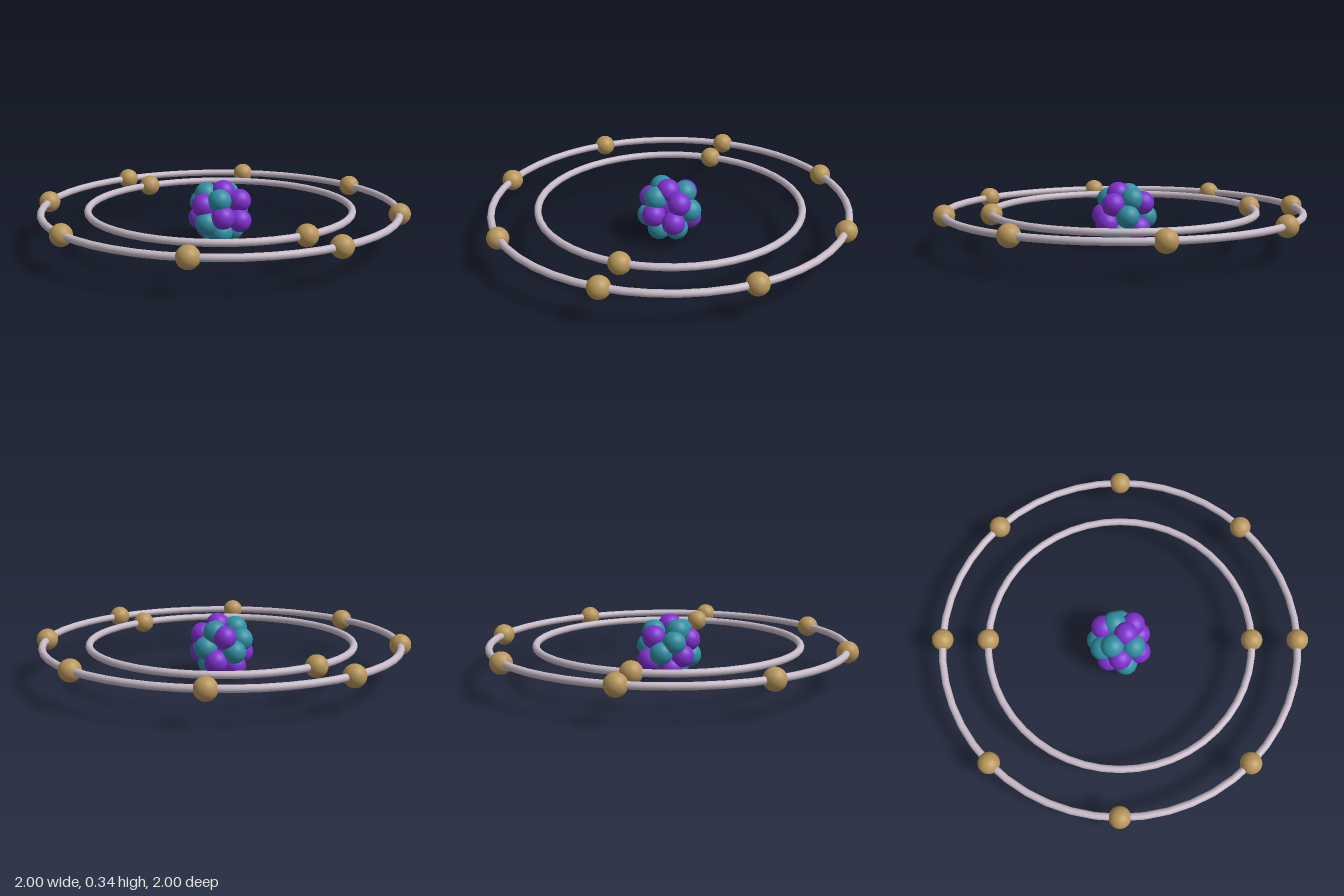
import * as THREE from 'three';

const CENTER_Y = 0.193;

export function createModel() {
  const model = new THREE.Group();
  model.name = 'atom';

  const mat = (color) => new THREE.MeshStandardMaterial({ color });
  const ringMat = mat(0xc6bac6);
  const electronMat = mat(0xb8965a);
  const protonMat = mat(0x8030d0);
  const neutronMat = mat(0x2f8fa3);

  const ballGeo = new THREE.SphereGeometry(1, 32, 20);
  const addBall = (parent, name, material, radius, x, y, z) => {
    const ball = new THREE.Mesh(ballGeo, material);
    ball.name = name;
    ball.scale.setScalar(radius);
    ball.position.set(x, y, z);
    parent.add(ball);
  };

  // Each shell is a thin ring with evenly spaced electrons
  const addShell = (name, radius, count) => {
    const shell = new THREE.Group();
    shell.name = name;
    shell.position.y = CENTER_Y;
    const ring = new THREE.Mesh(new THREE.TorusGeometry(radius, 0.019, 16, 48), ringMat);
    ring.name = 'orbitRing';
    ring.rotation.x = Math.PI / 2;
    shell.add(ring);
    for (let i = 0; i < count; i++) {
      const a = (i / count) * Math.PI * 2;
      addBall(shell, 'electron', electronMat, 0.057, radius * Math.sin(a), 0, radius * Math.cos(a));
    }
    model.add(shell);
  };
  addShell('innerShell', 0.7, 2);
  addShell('outerShell', 0.943, 8);

  // Nucleus: a tight cluster of overlapping protons and neutrons
  const nucleus = new THREE.Group();
  nucleus.name = 'nucleus';
  const protons = [
    [0, 0.285, 0.03], [0.075, 0.235, 0.07], [0.055, 0.24, -0.09], [-0.11, 0.22, 0],
    [-0.055, 0.165, 0.1], [0.055, 0.135, 0.1], [0.09, 0.11, -0.06],
    [-0.03, 0.075, -0.07], [-0.09, 0.14, -0.06], [0, 0.175, 0],
  ];
  const neutrons = [
    [-0.062, 0.27, -0.04], [0.07, 0.26, -0.03], [-0.055, 0.25, 0.07], [0.11, 0.175, 0],
    [0.01, 0.16, -0.115], [-0.11, 0.13, 0.03], [-0.04, 0.075, 0.06],
    [0.05, 0.08, 0.04], [-0.04, 0.065, -0.005], [-0.055, 0.215, -0.095],
  ];
  protons.forEach((p) => addBall(nucleus, 'proton', protonMat, 0.062, ...p));
  neutrons.forEach((p) => addBall(nucleus, 'neutron', neutronMat, 0.062, ...p));
  model.add(nucleus);

  return model;
}
